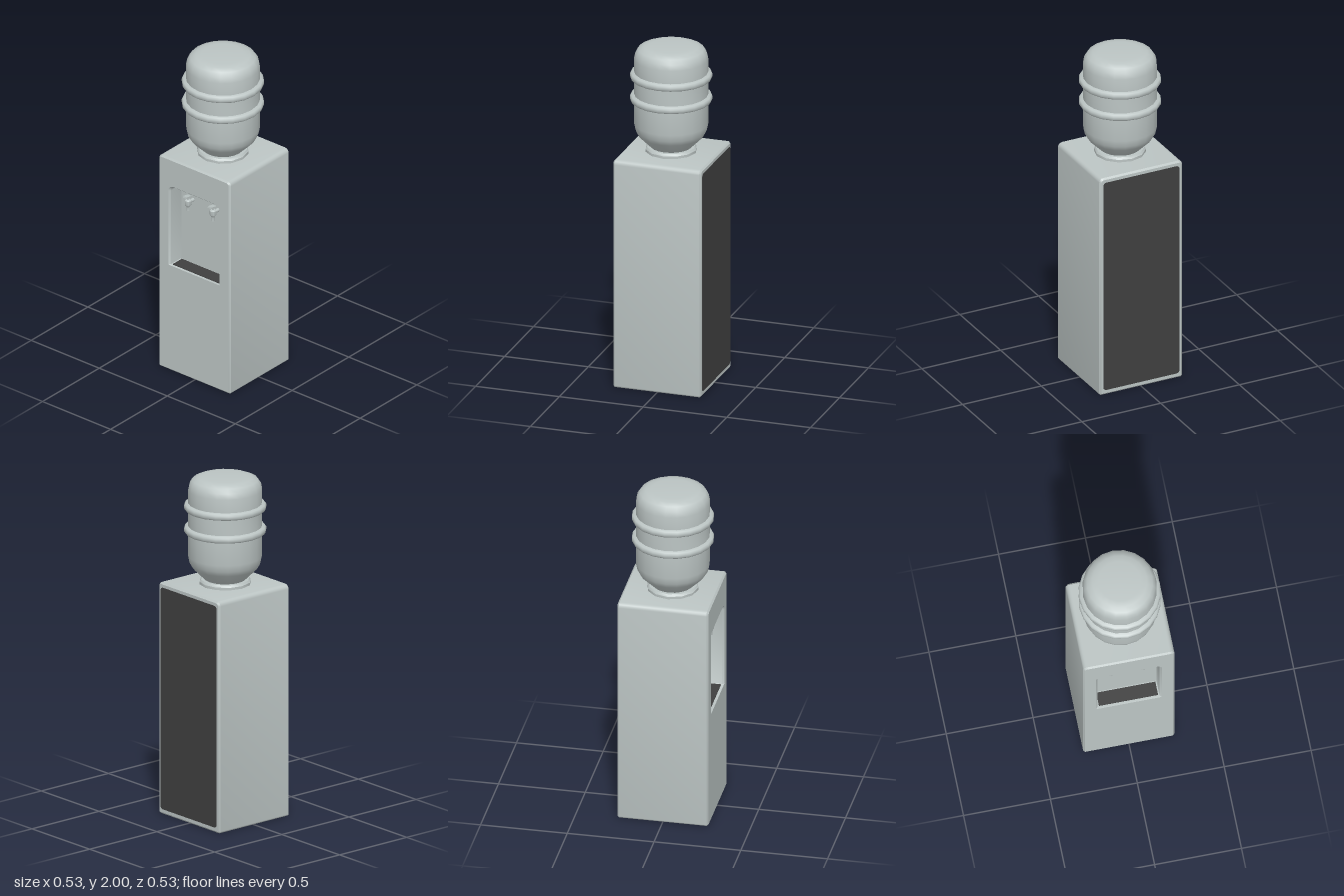
import * as THREE from 'three';
import { mergeGeometries, toCreasedNormals } from 'three/addons/utils/BufferGeometryUtils.js';

const shellMat = new THREE.MeshStandardMaterial({ color: 0xbcc5c4 });
shellMat.name = 'pale grey plastic';
const darkMat = new THREE.MeshStandardMaterial({ color: 0x404040 });
darkMat.name = 'dark grey';

function add(parent, name, geometry, material, x = 0, y = 0, z = 0) {
  const mesh = new THREE.Mesh(geometry, material);
  mesh.name = name;
  mesh.position.set(x, y, z);
  parent.add(mesh);
  return mesh;
}

// Counter-clockwise rectangle with rounded top and bottom corners
function outline(x0, x1, y0, y1, rTop, rBottom) {
  const pts = [];
  const corners = [[x1, y0, -1, 1, rBottom], [x1, y1, -1, -1, rTop], [x0, y1, 1, -1, rTop], [x0, y0, 1, 1, rBottom]];
  corners.forEach(([x, y, sx, sy, r], k) => {
    for (let i = 0; i <= 4; i++) {
      const a = (k - 1 + i / 4) * Math.PI / 2;
      pts.push(new THREE.Vector2(x + sx * r + r * Math.cos(a), y + sy * r + r * Math.sin(a)));
    }
  });
  return pts;
}

// Skin between successive [outline, z] rings
function loft(rings) {
  const pos = [];
  for (let k = 0; k < rings.length - 1; k++) {
    const [p, z0] = rings[k], [q, z1] = rings[k + 1];
    p.forEach((_, i) => {
      const j = (i + 1) % p.length;
      const a = [p[i].x, p[i].y, z0], b = [p[j].x, p[j].y, z0];
      const c = [q[j].x, q[j].y, z1], d = [q[i].x, q[i].y, z1];
      pos.push(...a, ...b, ...c, ...a, ...c, ...d);
    });
  }
  const g = new THREE.BufferGeometry();
  g.setAttribute('position', new THREE.Float32BufferAttribute(pos, 3));
  return g;
}

function cap(pts, z, hole, back) {
  const shape = new THREE.Shape(pts);
  if (hole) shape.holes.push(new THREE.Path(hole));
  const g = new THREE.ShapeGeometry(shape).toNonIndexed();
  g.deleteAttribute('uv');
  g.deleteAttribute('normal');
  if (back) g.rotateY(Math.PI);
  return g.translate(0, 0, z);
}

function createCabinet(parent) {
  const H = 0.263, B = 0.01, wallZ = 0.16;
  const outer = (d) => outline(-H + d, H - d, d, 1.37 - d, 0.026 - d, 0.012 - d);
  const niche = (d) => outline(-0.18 - d, 0.178 + d, 0.68, 1.185 + d, 0.028 + d, 0.003);
  const shell = mergeGeometries([
    loft([[outer(B), -H], [outer(0), -H + B], [outer(0), H - B], [outer(B), H]]),
    loft([[niche(0.01), H], [niche(0), H - 0.012], [niche(0), wallZ]]),
    cap(outer(B), H, niche(0.01)),
    cap(niche(0), wallZ),
    cap(outer(B), -H, null, true),
  ]);
  add(parent, 'cabinet', toCreasedNormals(shell, 0.6), shellMat);

  // Dark inset back panel and drip tray
  const panel = new THREE.ExtrudeGeometry(new THREE.Shape(outline(-0.242, 0.242, 0.03, 1.342, 0.02, 0.02)),
    { depth: 0.003, bevelEnabled: false });
  add(parent, 'backPanel', panel, darkMat, 0, 0, -H - 0.002);
  add(parent, 'dripTray', new THREE.BoxGeometry(0.34, 0.004, 0.08), darkMat, 0, 0.682, 0.207);
}

function createTap(parent, name, x) {
  const tap = new THREE.Group();
  tap.name = name;
  tap.position.set(x, 0, 0.16);
  parent.add(tap);
  // Stem out of the wall, then spout, collar and lever
  add(tap, 'tapStem', new THREE.CylinderGeometry(0.011, 0.011, 0.045, 10), shellMat, 0, 1.092, 0.022).rotation.x = Math.PI / 2;
  const spout = [[0, 1.04], [0.009, 1.04], [0.009, 1.065], [0.019, 1.08], [0.019, 1.106], [0.012, 1.112], [0, 1.112]];
  const g = new THREE.LatheGeometry(spout.map(([r, y]) => new THREE.Vector2(r, y)), 12);
  add(tap, 'tapSpout', toCreasedNormals(g, 0.6), shellMat, 0, 0, 0.045);
  add(tap, 'tapPin', new THREE.CylinderGeometry(0.006, 0.006, 0.02, 8), shellMat, 0, 1.12, 0.045);
  add(tap, 'tapLever', new THREE.BoxGeometry(0.028, 0.01, 0.045), shellMat, 0, 1.132, 0.052).rotation.x = -0.2;
}

function createBottle(parent) {
  const rib = (y) => [[0.21, y - 0.022], [0.227, y - 0.017], [0.233, y - 0.008],
    [0.233, y + 0.008], [0.227, y + 0.017], [0.21, y + 0.022]];
  const profile = [[0, 1.395], [0.115, 1.395], [0.185, 1.465], [0.202, 1.495], [0.21, 1.535],
    ...rib(1.69), ...rib(1.825),
    [0.21, 1.925], [0.203, 1.958], [0.186, 1.983], [0.155, 1.996], [0.12, 2], [0, 2]];
  const g = new THREE.LatheGeometry(profile.map(([r, y]) => new THREE.Vector2(r, y)), 20);
  add(parent, 'bottle', toCreasedNormals(g, 0.75), shellMat, -0.003, 0, 0.006);

  // Collar the bottle sits in
  const ring = [[0.147, 1.365], [0.147, 1.385], [0.138, 1.397], [0.105, 1.397]];
  const c = new THREE.LatheGeometry(ring.map(([r, y]) => new THREE.Vector2(r, y)), 12);
  add(parent, 'collar', toCreasedNormals(c, 0.6), shellMat, -0.003, 0, 0.006);
}

export function createModel() {
  const model = new THREE.Group();
  model.name = 'waterDispenser';
  createCabinet(model);
  createTap(model, 'rightTap', -0.093);
  createTap(model, 'leftTap', 0.09);
  createBottle(model);
  return model;
}
